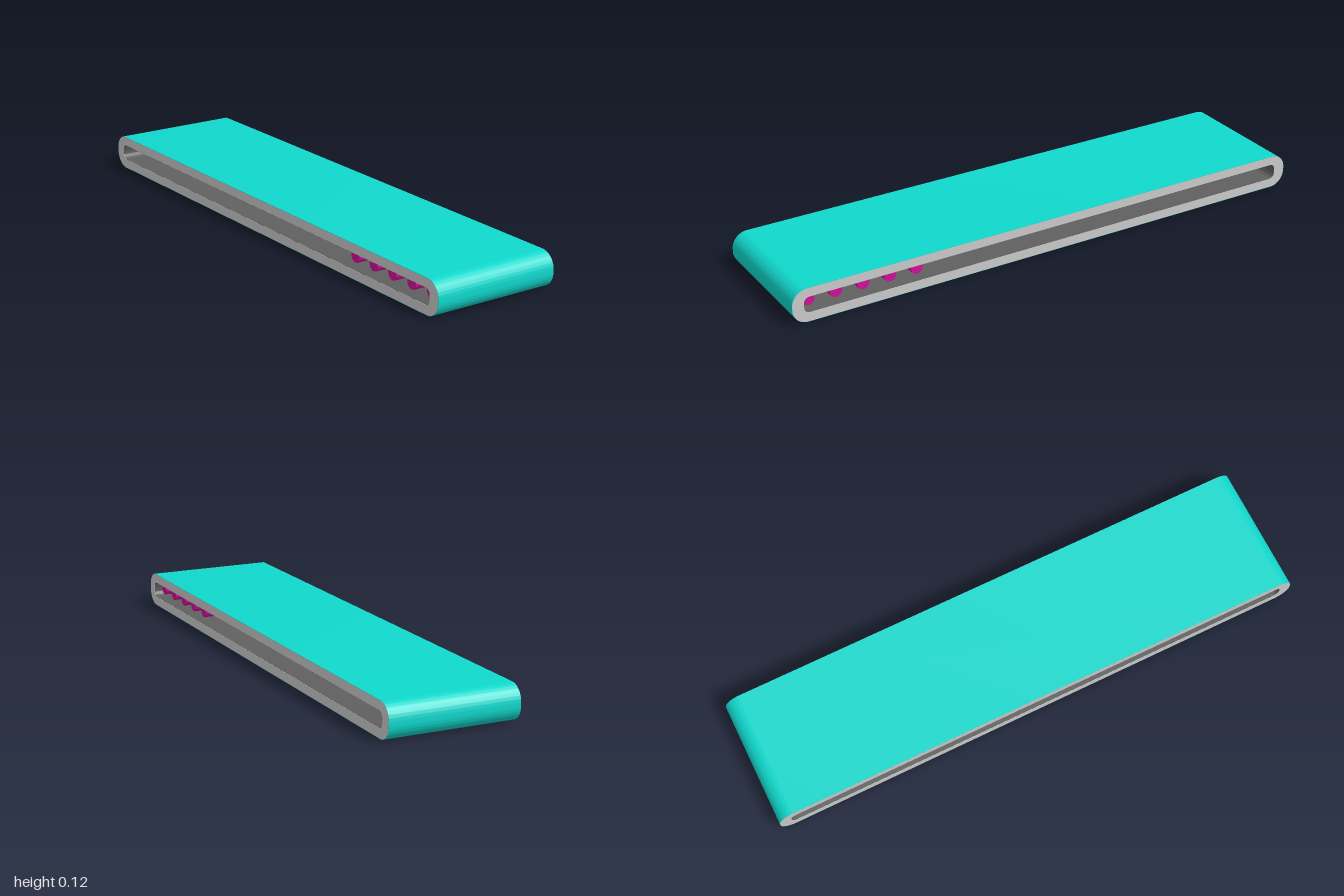
import * as THREE from 'three';
import { toCreasedNormals } from 'three/addons/utils/BufferGeometryUtils.js';

const WIDTH = 0.47, HEIGHT = 0.124, MID = HEIGHT / 2;

// Rounded rectangle in the side plane, centred on the axis of the conveyor
function roundedRect(Type, halfLength, halfHeight, r) {
  const p = new Type();
  const a = halfLength - r, b = halfHeight - r;
  p.absarc(a, b, r, 0, Math.PI / 2);
  p.absarc(-a, b, r, Math.PI / 2, Math.PI);
  p.absarc(-a, -b, r, Math.PI, Math.PI * 1.5);
  p.absarc(a, -b, r, Math.PI * 1.5, Math.PI * 2);
  p.closePath();
  return p;
}

// Closed loop of material between two rounded rectangles, running across the width
function loop(name, outer, inner, width, material) {
  const shape = roundedRect(THREE.Shape, ...outer);
  if (inner) shape.holes.push(roundedRect(THREE.Path, ...inner));
  const raw = new THREE.ExtrudeGeometry(shape, { depth: width, bevelEnabled: false, curveSegments: 12 });
  raw.translate(0, 0, -width / 2).rotateY(Math.PI / 2).translate(0, MID, 0);
  const mesh = new THREE.Mesh(toCreasedNormals(raw, 0.6), material);
  mesh.name = name;
  return mesh;
}

export function createModel() {
  const group = new THREE.Group();
  group.name = 'conveyor';
  const teal = new THREE.MeshStandardMaterial({ color: 0x10d8cc });
  const grey = new THREE.MeshStandardMaterial({ color: 0xcccccc });
  const dark = new THREE.MeshStandardMaterial({ color: 0x606060 });
  const magenta = new THREE.MeshStandardMaterial({ color: 0xd0109a });

  // Half length, half height and corner radius of each layer, outside to inside
  const beltOuter = [1, MID, 0.056];
  const frameOuter = [0.999, MID - 0.001, 0.055];
  const frameInner = [0.957, 0.0285, 0.02];
  const liningInner = [0.956, 0.0275, 0.019];

  group.add(loop('belt', beltOuter, frameOuter, WIDTH, teal));
  group.add(loop('frame', frameOuter, frameInner, WIDTH, grey));
  group.add(loop('slotLining', frameInner, liningInner, WIDTH - 0.002, dark));
  group.add(loop('centrePanel', liningInner, null, 0.02, dark));

  // Rollers at the front end, set back from both sides
  const rollerGeometry = new THREE.CylinderGeometry(0.023, 0.023, 0.41, 10).rotateZ(Math.PI / 2);
  for (let i = 0; i < 5; i++) {
    const roller = new THREE.Mesh(rollerGeometry, magenta);
    roller.name = `roller${i + 1}`;
    roller.position.set(0, 0.065, 0.928 - i * 0.1);
    group.add(roller);
  }
  return group;
}
